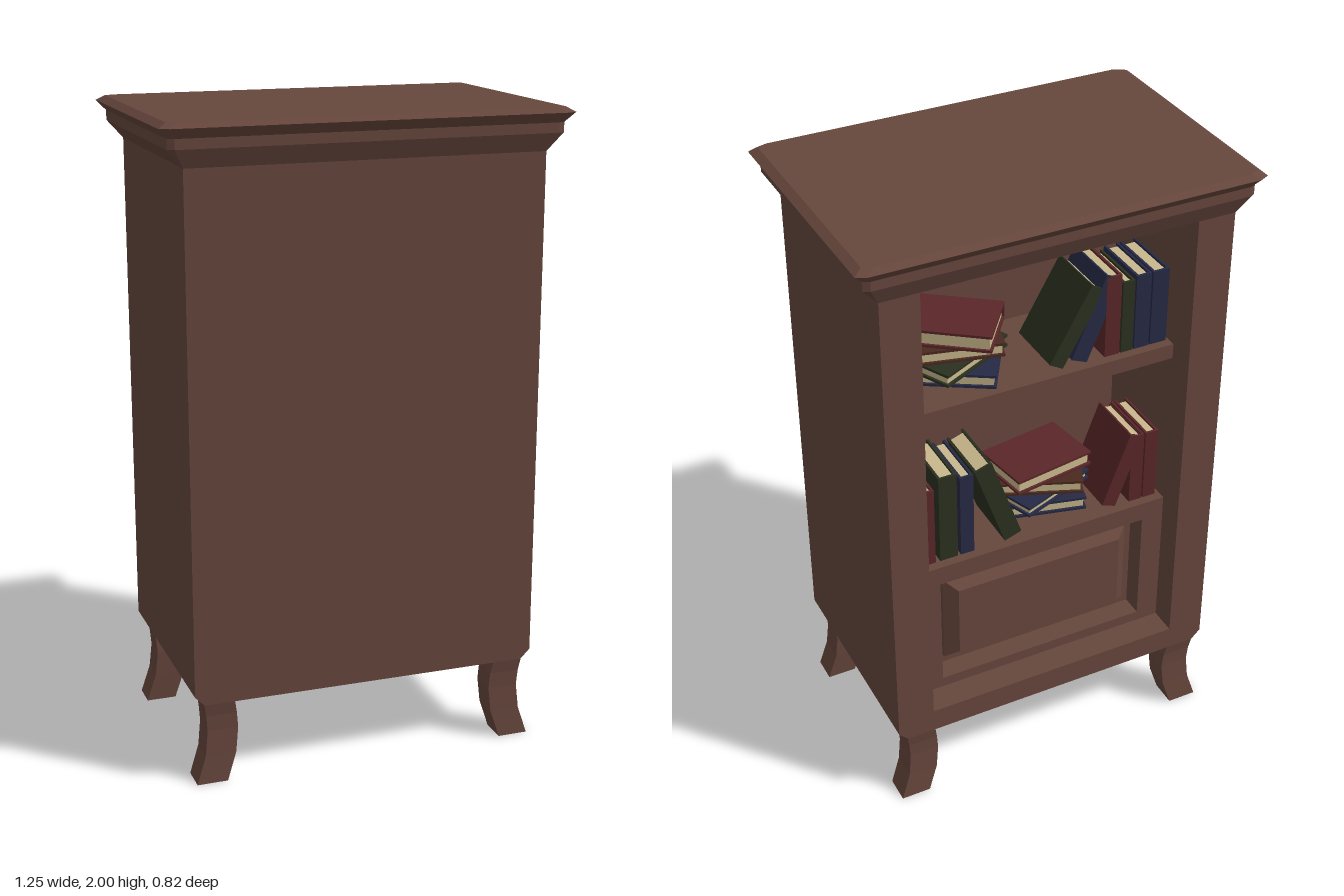
import * as THREE from 'three';

const mat = (color) => new THREE.MeshStandardMaterial({ color, flatShading: true });
const WOOD = mat(0x66463c), PAGES = mat(0xc9b88c);
const RED = mat(0x5a2628), GREEN = mat(0x2b3120), NAVY = mat(0x262a45), BROWN = mat(0x4a2a20);

function add(parent, name, geometry, material = WOOD) {
  const mesh = new THREE.Mesh(geometry, material);
  mesh.name = name;
  parent.add(mesh);
  return mesh;
}

// Box given by its lower and upper limits on each axis
function box(parent, name, [x0, x1], [y0, y1], [z0, z1], material) {
  const g = new THREE.BoxGeometry(x1 - x0, y1 - y0, z1 - z0);
  g.translate((x0 + x1) / 2, (y0 + y1) / 2, (z0 + z1) / 2);
  return add(parent, name, g, material);
}

// Stack of rectangles with cut corners: each level is { y, hx, hz, cx, cz, cut }
function loft(levels) {
  const rings = levels.map(({ y, hx, hz, cx = 0, cz = 0, cut = 0 }) => {
    const c = cut / 2;
    const corners = [
      [hx - cut, hz], [hx, hz - c], [hx, c - hz], [hx - cut, -hz],
      [cut - hx, -hz], [-hx, c - hz], [-hx, hz - c], [cut - hx, hz],
    ];
    return corners.map(([x, z]) => [cx + x, y, cz + z]);
  });
  const pos = [];
  const tri = (...pts) => pts.forEach((p) => pos.push(...p));
  for (let r = 0; r < rings.length - 1; r++) {
    const a = rings[r], b = rings[r + 1];
    for (let i = 0; i < 8; i++) {
      const j = (i + 1) % 8;
      tri(a[i], a[j], b[j]);
      tri(a[i], b[j], b[i]);
    }
  }
  const bottom = rings[0], top = rings[rings.length - 1];
  for (let i = 1; i < 7; i++) {
    tri(bottom[0], bottom[i + 1], bottom[i]);
    tri(top[0], top[i], top[i + 1]);
  }
  const g = new THREE.BufferGeometry();
  g.setAttribute('position', new THREE.Float32BufferAttribute(pos, 3));
  g.computeVertexNormals();
  return g;
}

// Upright book: thickness along x from 0 to t, spine towards -z, foot on y = 0
function makeBook(cover, t, h, d) {
  const book = new THREE.Group();
  const b = 0.008;
  book.name = 'book';
  box(book, 'coverBoard', [0, b], [0, h], [0, d], cover);
  box(book, 'coverBoard', [t - b, t], [0, h], [0, d], cover);
  box(book, 'spine', [b, t - b], [0, h], [0, b], cover);
  box(book, 'pages', [b, t - b], [b, h - b], [b, d - b], PAGES);
  return book;
}

// Row of standing books; lean > 0 tips the top towards -x
function bookRow(parent, shelfY, rows) {
  for (const [x, t, h, cover, lean = 0] of rows) {
    const book = makeBook(cover, t, h, 0.2);
    // A book tipped towards +x pivots on its other lower edge
    if (lean < 0) book.children.forEach((m) => m.geometry.translate(-t, 0, 0));
    book.position.set(lean < 0 ? x + t : x, shelfY, -0.24);
    book.rotation.z = lean;
    parent.add(book);
  }
}

// Pile of books lying flat, each turned by its own angle
function bookPile(parent, x, y, z, books) {
  for (const [t, cover, yaw] of books) {
    const holder = new THREE.Group();
    holder.name = 'lyingBook';
    const book = makeBook(cover, t, 0.28, 0.2);
    book.rotation.z = Math.PI / 2;
    book.position.set(0.14, 0, -0.1);
    holder.add(book);
    holder.position.set(x, y, z);
    holder.rotation.y = yaw;
    parent.add(holder);
    y += t;
  }
}

export function createModel() {
  const model = new THREE.Group();
  model.name = 'bookcase';

  // Carcass: thick closed wall at +z, two sides, open towards -z
  const carcass = new THREE.Group();
  carcass.name = 'carcass';
  model.add(carcass);
  box(carcass, 'closedWall', [-0.55, 0.55], [0.29, 1.88], [0.08, 0.36]);
  for (const s of [-1, 1]) {
    box(carcass, 'side', s > 0 ? [0.43, 0.55] : [-0.55, -0.43], [0.29, 1.88], [-0.36, 0.08]);
  }
  box(carcass, 'floor', [-0.43, 0.43], [0.29, 0.34], [-0.36, 0.08]);
  add(carcass, 'base', loft([
    { y: 0.26, hx: 0.52, hz: 0.36 },
    { y: 0.29, hx: 0.55, hz: 0.36 },
  ]));

  // Cornice with a flared moulding and bevelled top
  add(model, 'cornice', loft([
    { y: 1.87, hx: 0.55, hz: 0.36 },
    { y: 1.925, hx: 0.598, hz: 0.384, cut: 0.02 },
    { y: 1.955, hx: 0.598, hz: 0.384, cut: 0.02 },
    { y: 1.985, hx: 0.625, hz: 0.41, cut: 0.03 },
    { y: 2.0, hx: 0.6, hz: 0.392, cut: 0.03 },
  ]));

  // Curved legs, mirrored to the four corners
  const legPath = [
    [0, 0.5, 0.316], [0.09, 0.471, 0.311], [0.17, 0.463, 0.308], [0.22, 0.467, 0.31], [0.27, 0.475, 0.317],
  ];
  for (const sx of [-1, 1]) for (const sz of [-1, 1]) {
    add(model, 'leg', loft(legPath.map(([y, x, z]) => (
      { y, cx: sx * x, cz: sz * z, hx: 0.048, hz: 0.043 }))));
  }

  // Shelves
  box(model, 'upperShelf', [-0.43, 0.43], [1.36, 1.41], [-0.27, 0.08]);
  box(model, 'middleShelf', [-0.43, 0.43], [0.79, 0.83], [-0.27, 0.08]);

  // Lower front: frame around a recessed field with a raised panel
  const door = new THREE.Group();
  door.name = 'lowerFront';
  model.add(door);
  box(door, 'recess', [-0.43, 0.43], [0.34, 0.79], [-0.2, -0.18]);
  for (const s of [-1, 1]) {
    box(door, 'stile', s > 0 ? [0.355, 0.43] : [-0.43, -0.355], [0.34, 0.79], [-0.27, -0.2]);
  }
  box(door, 'topRail', [-0.355, 0.355], [0.765, 0.79], [-0.27, -0.2]);
  box(door, 'bottomRail', [-0.355, 0.355], [0.34, 0.375], [-0.27, -0.2]);
  const panel = add(door, 'raisedPanel', loft([
    { y: 0, hx: 0.325, hz: 0.16 },
    { y: 0.015, hx: 0.325, hz: 0.16 },
    { y: 0.05, hx: 0.285, hz: 0.125 },
  ]));
  panel.rotation.x = -Math.PI / 2;
  panel.position.set(0, 0.57, -0.2);

  // Books on both shelves
  const books = new THREE.Group();
  books.name = 'books';
  model.add(books);
  bookRow(books, 0.83, [
    [0.355, 0.055, 0.275, RED], [0.28, 0.06, 0.31, GREEN], [0.225, 0.045, 0.29, NAVY],
    [0.06, 0.06, 0.31, GREEN, -0.33],
    [-0.415, 0.045, 0.25, RED], [-0.365, 0.045, 0.25, RED], [-0.27, 0.05, 0.26, RED, 0.36],
  ]);
  bookPile(books, -0.07, 0.83, -0.08, [
    [0.045, NAVY, 2.9], [0.035, NAVY, 3.5], [0.045, BROWN, 2.75], [0.05, RED, 3.3],
  ]);
  bookRow(books, 1.41, [
    [-0.42, 0.055, 0.25, NAVY], [-0.36, 0.05, 0.25, NAVY], [-0.305, 0.04, 0.24, GREEN],
    [-0.26, 0.05, 0.27, RED], [-0.15, 0.055, 0.28, NAVY, 0.4], [-0.07, 0.05, 0.27, GREEN, 0.52],
  ]);
  bookPile(books, 0.22, 1.41, -0.09, [
    [0.045, NAVY, 2.6], [0.04, GREEN, 3.6], [0.045, BROWN, 2.9], [0.055, RED, 2.5],
  ]);

  return model;
}
